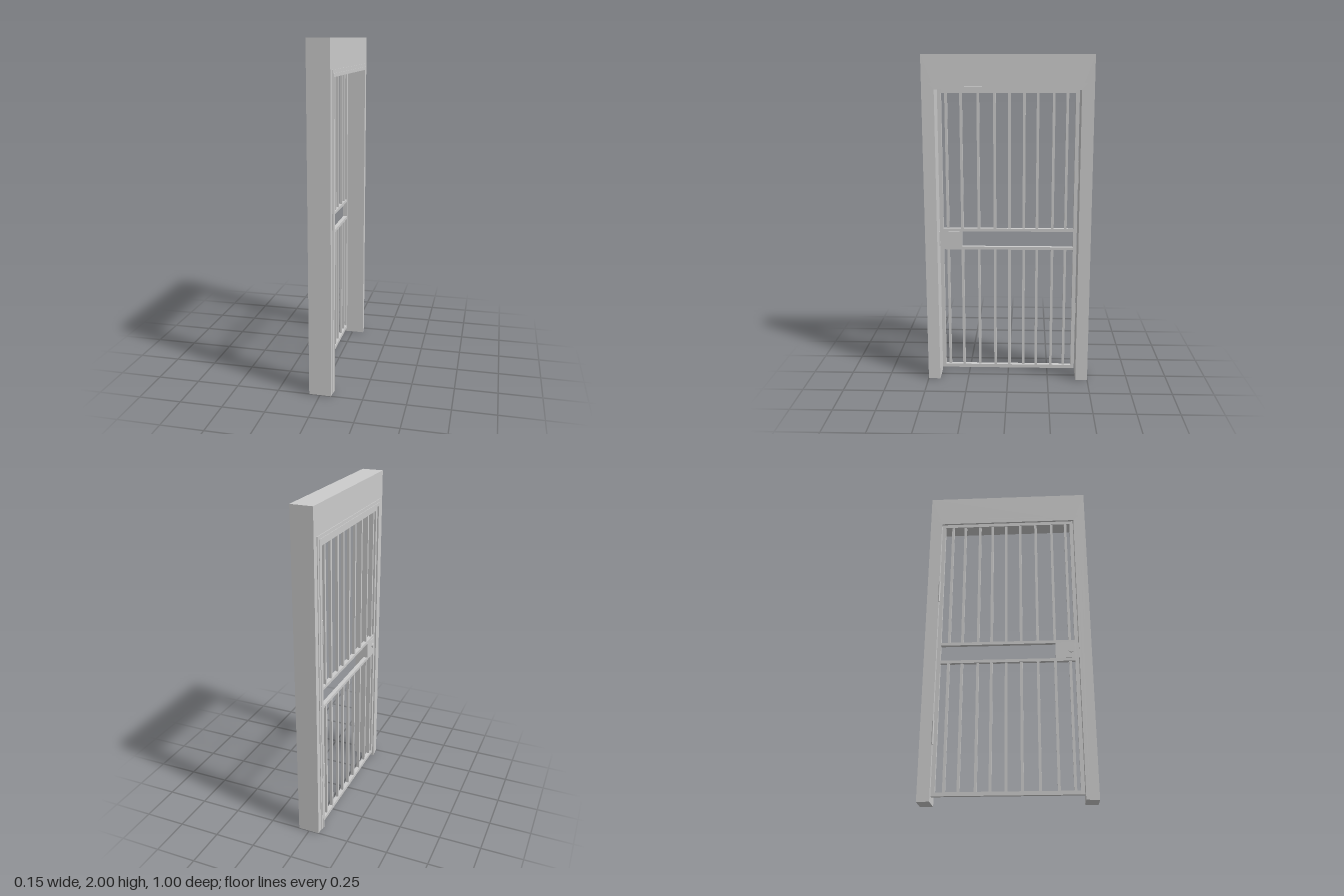
import * as THREE from 'three';

const grey = new THREE.MeshStandardMaterial({ color: 0xcccccc, flatShading: true });
const smooth = new THREE.MeshStandardMaterial({ color: 0xcccccc });

export function createModel() {
  const root = new THREE.Group();
  root.name = 'barredGateInDoorway';

  const add = (name, geometry, parent = root, material = grey) => {
    const mesh = new THREE.Mesh(geometry, material);
    mesh.name = name;
    parent.add(mesh);
    return mesh;
  };
  // Box given by its limits on each axis
  const box = (name, x0, x1, y0, y1, z0, z1, parent) =>
    add(name, new THREE.BoxGeometry(x1 - x0, y1 - y0, z1 - z0), parent)
      .position.set((x0 + x1) / 2, (y0 + y1) / 2, (z0 + z1) / 2);
  // Doorway-shaped arch, extruded along x
  const arch = (name, x0, x1, outer, top, inner, innerTop, parent) => {
    const shape = new THREE.Shape([
      [-outer, 0], [-inner, 0], [-inner, innerTop], [inner, innerTop],
      [inner, 0], [outer, 0], [outer, top], [-outer, top],
    ].map(([a, b]) => new THREE.Vector2(a, b)));
    const g = new THREE.ExtrudeGeometry(shape, { depth: x1 - x0, bevelEnabled: false });
    g.rotateY(Math.PI / 2);
    g.translate(x0, 0, 0);
    return add(name, g, parent);
  };

  // Wall around the opening
  arch('wall', -0.063, 0.067, 0.5, 2, 0.426, 1.8);

  // Stepped trim on both faces
  const trim = new THREE.Group();
  trim.name = 'trim';
  root.add(trim);
  arch('outerTrimBack', -0.067, -0.063, 0.464, 1.838, 0.445, 1.819, trim);
  arch('innerTrimBack', -0.07, -0.063, 0.445, 1.819, 0.426, 1.8, trim);
  arch('outerTrimFront', 0.067, 0.07, 0.464, 1.838, 0.445, 1.819, trim);
  arch('innerTrimFront', 0.067, 0.073, 0.445, 1.819, 0.426, 1.8, trim);

  // Gate: perimeter, middle rails and vertical bars
  const gate = new THREE.Group();
  gate.name = 'gate';
  root.add(gate);
  const gx0 = -0.062, gx1 = -0.038;
  for (const s of [-1, 1])
    box('stile', gx0, gx1, 0.03, 1.797, s > 0 ? 0.4 : -0.422, s > 0 ? 0.422 : -0.4, gate);
  for (const [y0, y1] of [[0.03, 0.052], [0.818, 0.836], [0.934, 0.952], [1.775, 1.797]])
    box('rail', gx0, gx1, y0, y1, -0.4, 0.4, gate);
  for (const z of [0.372, 0.283, 0.181, 0.082, -0.008, -0.096, -0.177, -0.272, -0.352]) {
    box('lowerBar', -0.058, -0.042, 0.052, 0.818, z - 0.008, z + 0.008, gate);
    box('upperBar', -0.058, -0.042, 0.952, 1.775, z - 0.008, z + 0.008, gate);
  }

  // Lock with key cylinder, and its strike plate on the jamb
  const lock = new THREE.Group();
  lock.name = 'lock';
  root.add(lock);
  box('lockCase', -0.064, -0.036, 0.836, 0.934, 0.286, 0.4, lock);
  const key = add('keyCylinder', new THREE.CylinderGeometry(0.015, 0.015, 0.008, 20), lock, smooth);
  key.rotation.z = Math.PI / 2;
  key.position.set(-0.068, 0.885, 0.378);
  box('keySlot', -0.073, -0.071, 0.876, 0.894, 0.376, 0.38, lock);
  box('strikePlate', -0.06, -0.035, 0.84, 0.93, 0.422, 0.428, lock);

  // Hinge barrels
  for (const y of [0.39, 1.3])
    add('hinge', new THREE.CylinderGeometry(0.006, 0.006, 0.14, 16), root, smooth)
      .position.set(-0.069, y, -0.424);

  return root;
}
